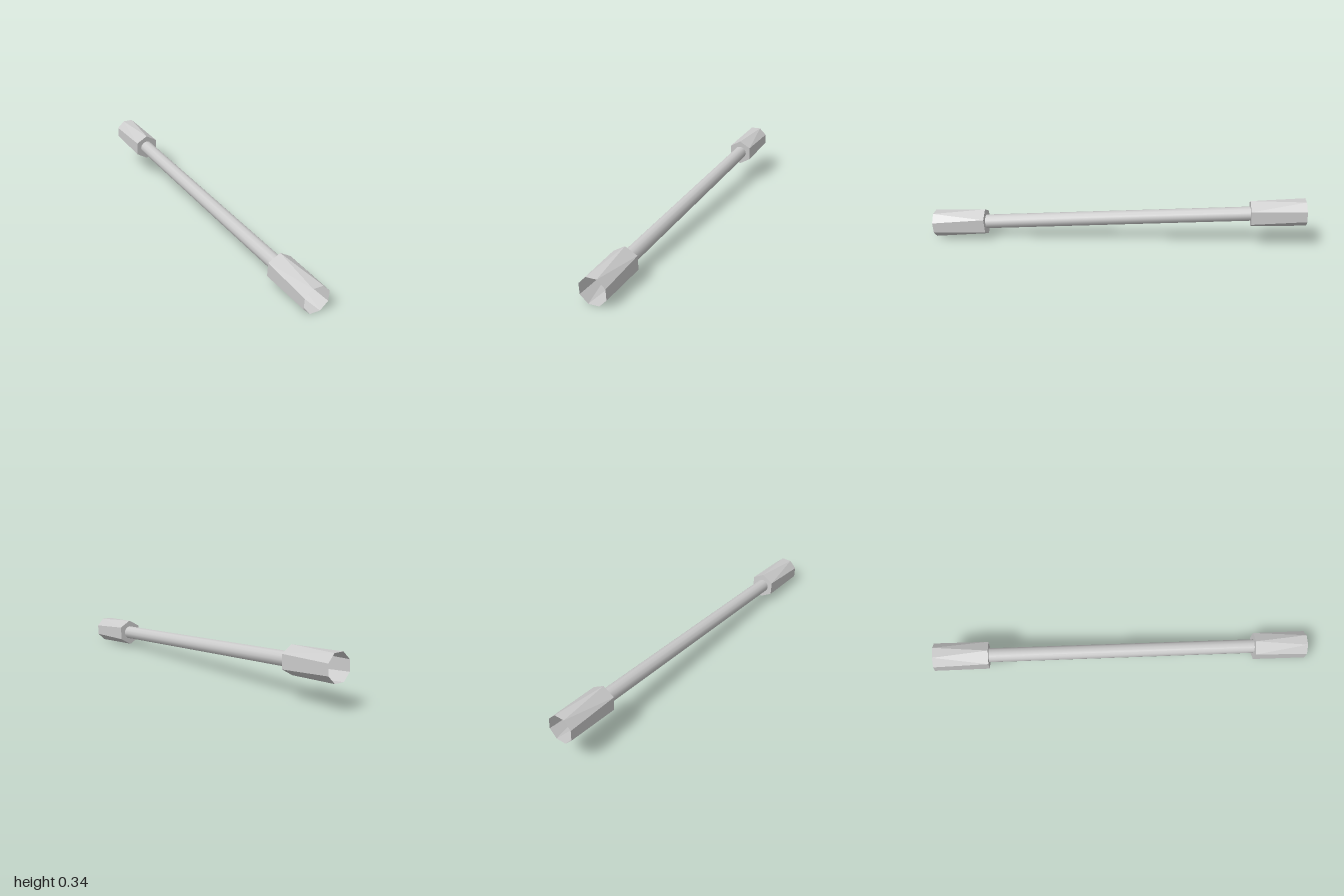
import * as THREE from 'three';

const NEAR = 0.889, FAR = 1.244, R = 0.09;

// Corners of a regular polygon around the z axis
function ring(n, offset, z) {
  return (i) => {
    const a = offset + (i * Math.PI * 2) / n;
    return { a, p: [R * Math.cos(a), R * Math.sin(a), z] };
  };
}

// Thin wall that blends a hexagonal end into an octagonal mouth
function socketWall() {
  const hex = ring(6, Math.PI / 6, NEAR), oct = ring(8, Math.PI / 8, FAR);
  const pos = [];
  let i = 0, j = 0;
  while (i < 6 || j < 8) {
    const a = hex(i), b = oct(j), a2 = hex(i + 1), b2 = oct(j + 1);
    if (j >= 8 || (i < 6 && a2.a < b2.a)) {
      pos.push(...a.p, ...a2.p, ...b.p);
      i++;
    } else {
      pos.push(...a.p, ...b2.p, ...b.p);
      j++;
    }
  }
  const g = new THREE.BufferGeometry();
  g.setAttribute('position', new THREE.Float32BufferAttribute(pos, 3));
  g.computeVertexNormals();
  return g;
}

export function createModel() {
  const model = new THREE.Group();
  const flat = new THREE.MeshStandardMaterial({ color: 0xcccccc, flatShading: true, side: THREE.DoubleSide });
  const smooth = new THREE.MeshStandardMaterial({ color: 0xcccccc });

  // The whole tool lies along its local z axis, then is tilted into place
  const tool = new THREE.Group();
  tool.name = 'socketBar';
  tool.position.y = 0.174;
  tool.lookAt(0.945, 0.174 - 0.086, 0.805);
  model.add(tool);

  // Round bar
  const shaft = new THREE.Mesh(new THREE.CylinderGeometry(0.047, 0.047, NEAR * 2 + 0.01, 12), smooth);
  shaft.name = 'shaft';
  shaft.rotation.x = Math.PI / 2;
  tool.add(shaft);

  // Hollow socket at each end
  const wallGeo = socketWall();
  const shoulderGeo = new THREE.CircleGeometry(R, 6, Math.PI / 6).translate(0, 0, NEAR);
  ['frontSocket', 'backSocket'].forEach((name, k) => {
    const socket = new THREE.Group();
    socket.name = name;
    const wall = new THREE.Mesh(wallGeo, flat);
    wall.name = 'socketWall';
    const shoulder = new THREE.Mesh(shoulderGeo, flat);
    shoulder.name = 'socketShoulder';
    socket.add(wall, shoulder);
    socket.rotation.y = k * Math.PI;
    tool.add(socket);
  });
  return model;
}
